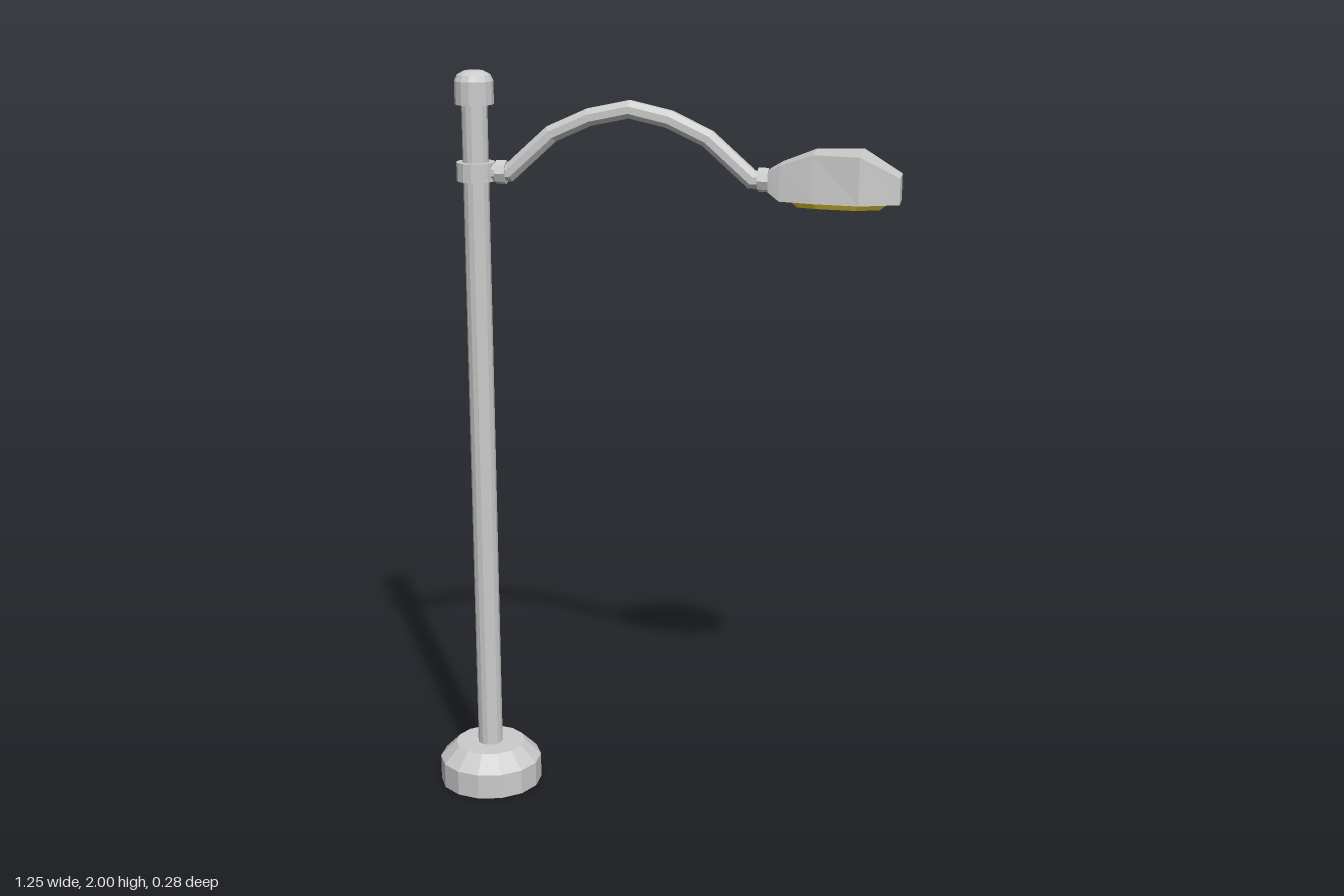
import * as THREE from 'three';

const POLE_X = -0.487, SIDES = 14;
const grey = new THREE.MeshStandardMaterial({ color: 0xcccccc, flatShading: true });
const yellow = new THREE.MeshStandardMaterial({ color: 0xe0c22e, flatShading: true });

// Skins a list of equal-length rings and caps both ends
function loft(rings) {
  const n = rings[0].length;
  const index = [];
  rings.slice(1).forEach((_, i) => {
    for (let j = 0; j < n; j++) {
      const a = i * n + j, b = i * n + (j + 1) % n;
      index.push(a, b, b + n, a, b + n, a + n);
    }
  });
  const last = (rings.length - 1) * n;
  for (let j = 1; j < n - 1; j++) {
    index.push(0, j + 1, j, last, last + j, last + j + 1);
  }
  const geo = new THREE.BufferGeometry();
  geo.setAttribute('position', new THREE.Float32BufferAttribute(rings.flat(2), 3));
  geo.setIndex(index);
  const flat = geo.toNonIndexed();
  flat.computeVertexNormals();
  return flat;
}

// Tube of constant thickness with mitred corners along a path in the xy plane
function bentTube(path, radius, sides) {
  return loft(path.map(([x, y], i) => {
    const p = new THREE.Vector2(x, y);
    const dir = (a, b) => new THREE.Vector2(b[0] - a[0], b[1] - a[1]).normalize();
    const before = dir(path[Math.max(i - 1, 0)], path[Math.max(i, 1)]);
    const after = dir(path[Math.min(i, path.length - 2)], path[Math.min(i + 1, path.length - 1)]);
    const tangent = before.clone().add(after).normalize();
    const mitre = radius / tangent.dot(before);
    return Array.from({ length: sides }, (_, j) => {
      const a = (j + 0.5) / sides * Math.PI * 2;
      const up = Math.cos(a) * mitre;
      return [p.x - tangent.y * up, p.y + tangent.x * up, Math.sin(a) * radius];
    });
  }));
}

export function createModel() {
  const model = new THREE.Group();
  model.name = 'streetLamp';
  const add = (name, geometry, material = grey) => {
    const mesh = new THREE.Mesh(geometry, material);
    mesh.name = name;
    model.add(mesh);
    return mesh;
  };
  // Turned parts around the pole axis, profile from bottom to top
  const turned = (name, profile) => {
    const points = profile.map(([r, y]) => new THREE.Vector2(r, y));
    add(name, new THREE.LatheGeometry(points, SIDES)).position.x = POLE_X;
  };

  turned('base', [[0, 0], [0.142, 0], [0.142, 0.07], [0.097, 0.115], [0, 0.115]]);
  turned('pole', [[0.034, 0.11], [0.034, 1.92]]);
  turned('collar', [[0.03, 1.713], [0.051, 1.713], [0.051, 1.762], [0.03, 1.762]]);
  turned('cap', [[0, 1.912], [0.051, 1.912], [0.051, 1.972], [0.043, 1.988], [0.026, 1.997], [0, 2]]);

  // Curved arm and the ring at each of its ends
  add('arm', bentTube([
    [-0.46, 1.737], [-0.396, 1.737], [-0.283, 1.84], [-0.184, 1.885], [-0.078, 1.908],
    [0.026, 1.885], [0.126, 1.838], [0.24, 1.737], [0.3, 1.737],
  ], 0.024, 8));
  [['innerRing', -0.418], ['outerRing', 0.27]].forEach(([name, x]) => {
    const ring = add(name, new THREE.CylinderGeometry(0.031, 0.031, 0.027, 8));
    ring.rotation.z = Math.PI / 2;
    ring.position.set(x, 1.737, 0);
  });

  // Lamp housing: x, bottom, top, half width at bottom, half width at top
  add('lampHousing', loft([
    [0.285, 1.71, 1.763, 0.032, 0.03],
    [0.315, 1.69, 1.78, 0.045, 0.04],
    [0.4, 1.69, 1.812, 0.066, 0.058],
    [0.52, 1.69, 1.812, 0.079, 0.077],
    [0.62, 1.69, 1.757, 0.042, 0.042],
  ].map(([x, low, high, wLow, wHigh]) => [
    [x, high, wHigh], [x, low, wLow], [x, low, -wLow], [x, high, -wHigh],
  ])));

  // Glowing lens under the housing, narrowing downwards
  const half = [[0.59, 0.033], [0.52, 0.057], [0.4, 0.046], [0.34, 0.03]];
  const outline = [...half, ...half.map(([x, z]) => [x, -z]).reverse()];
  const lensRing = (y, s) => outline.map(([x, z]) => [0.465 + (x - 0.465) * s, y, z * s]);
  add('lens', loft([lensRing(1.695, 1), lensRing(1.69, 1), lensRing(1.673, 0.84)]), yellow);

  return model;
}
